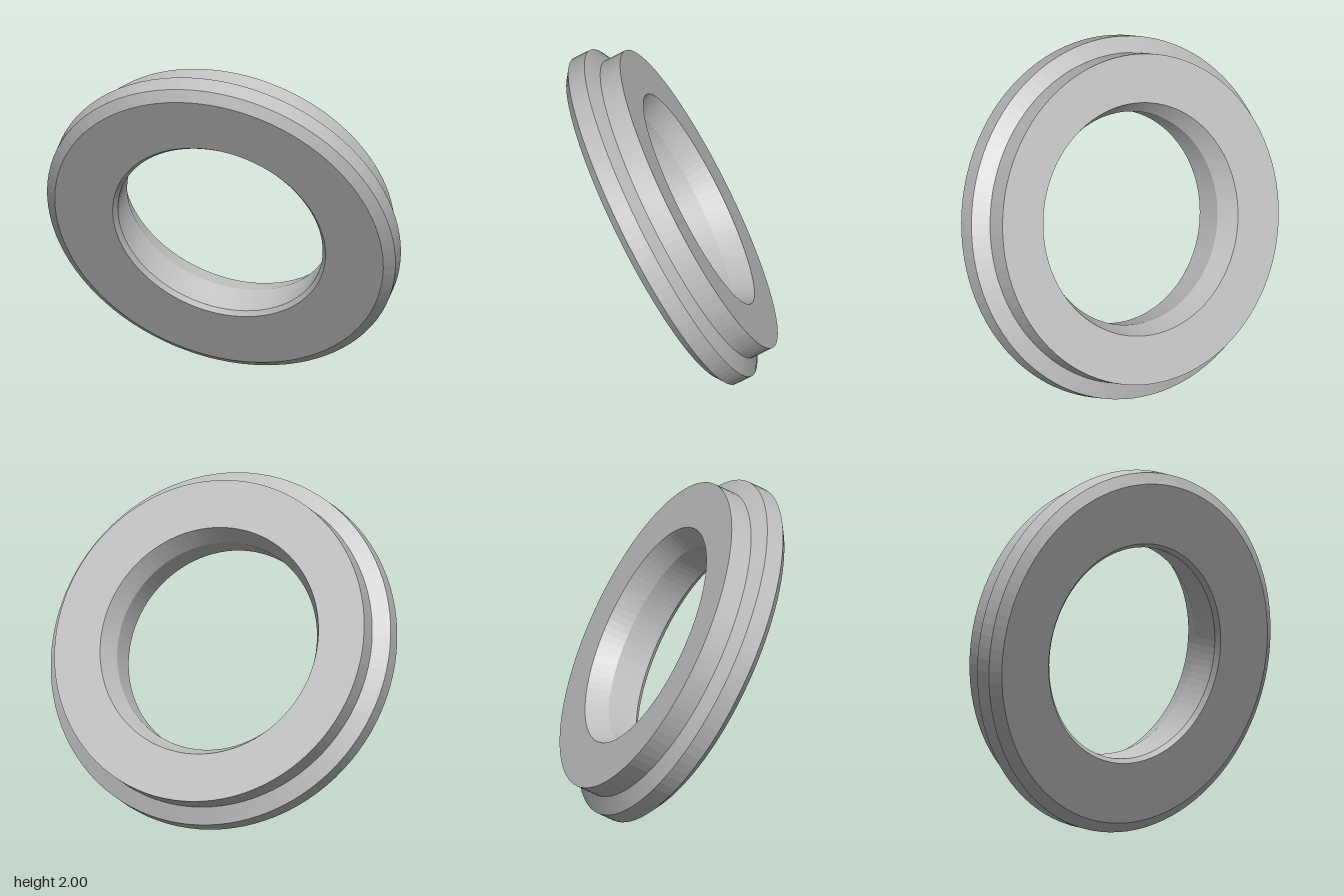
import * as THREE from 'three';

export function createModel() {
  const group = new THREE.Group();
  group.name = 'flangedRing';

  const grey = new THREE.MeshStandardMaterial({ color: 0xbfbfbf, flatShading: true });
  grey.name = 'grey';

  // Closed cross-section as [radius, height along the axis]; 0 is the seat face
  const section = [
    [0.67, -0.35], [1.034, -0.35],   // flange face
    [1.097, -0.303], [1.097, -0.192], // chamfer and flange rim
    [1.0, -0.136], [1.0, 0],          // sloped shoulder and collar
    [0.705, 0],                       // seat face
    [0.645, -0.132], [0.645, -0.325], // tapered mouth and bore
    [0.67, -0.35],                    // small bore chamfer
  ].map(([r, y]) => new THREE.Vector2(r, y));

  const ring = new THREE.Mesh(new THREE.LatheGeometry(section, 96), grey);
  ring.name = 'ring';

  // Tilt the ring's axis and place its seat face
  const axis = new THREE.Vector3(0.61, 0.46, -0.645).normalize();
  ring.quaternion.setFromUnitVectors(new THREE.Vector3(0, 1, 0), axis);
  ring.position.set(0.1225, 1.1125, -0.1375);

  group.add(ring);
  return group;
}
